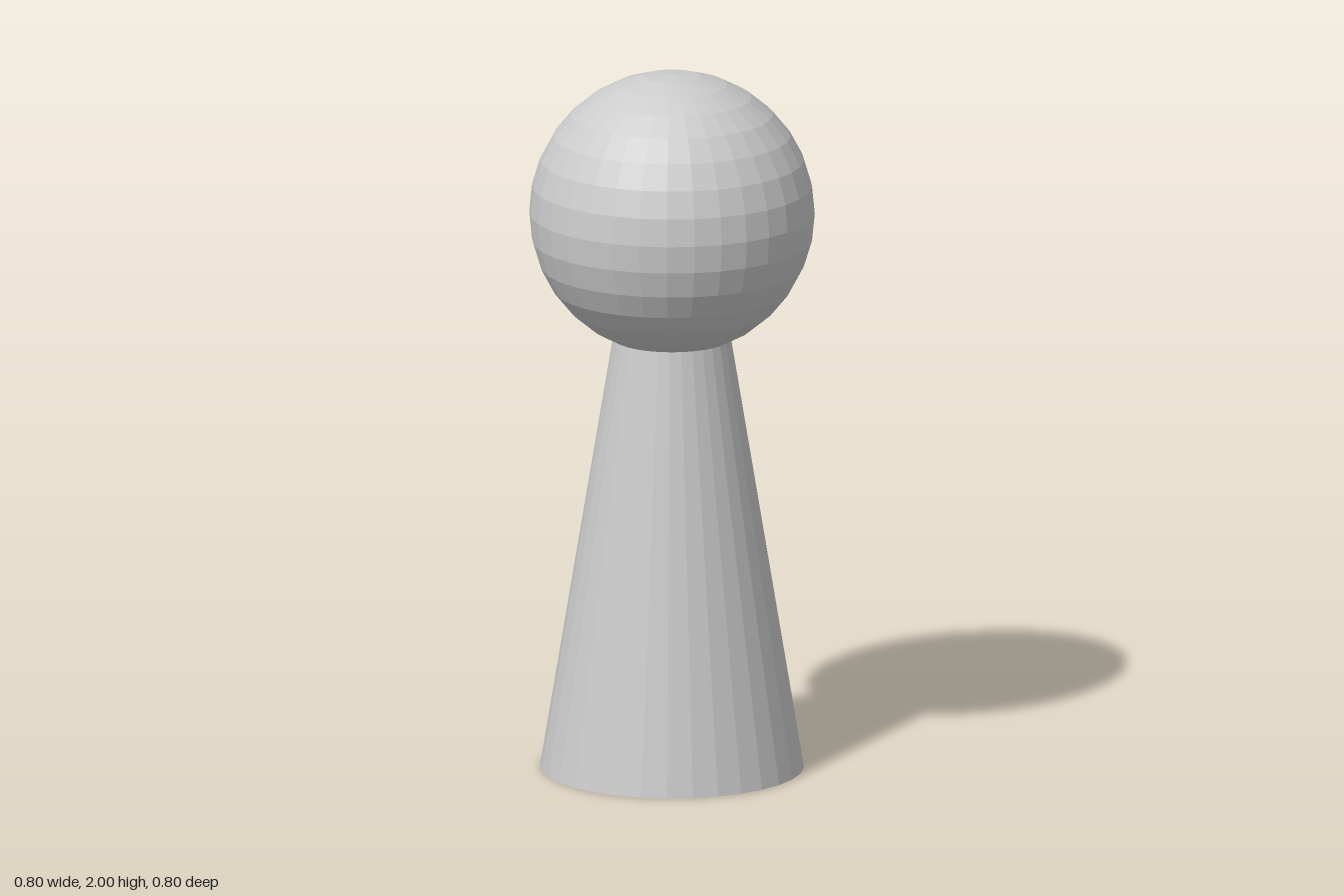
import * as THREE from 'three';

const SEGMENTS = 32;
const HEAD_RADIUS = 0.4;
const BODY_HEIGHT = 1.3;

export function createModel() {
  const group = new THREE.Group();
  group.name = 'pawn';
  const material = new THREE.MeshStandardMaterial({ color: 0xcccccc, flatShading: true });

  const addPart = (name, geometry, y) => {
    const mesh = new THREE.Mesh(geometry, material);
    mesh.name = name;
    mesh.position.y = y;
    group.add(mesh);
  };

  // Tapered body, its top hidden inside the head
  addPart('body', new THREE.CylinderGeometry(0.155, 0.37, BODY_HEIGHT, SEGMENTS), BODY_HEIGHT / 2);

  // Faceted ball head
  addPart('head', new THREE.SphereGeometry(HEAD_RADIUS, SEGMENTS, SEGMENTS / 2), 2 - HEAD_RADIUS);

  return group;
}
